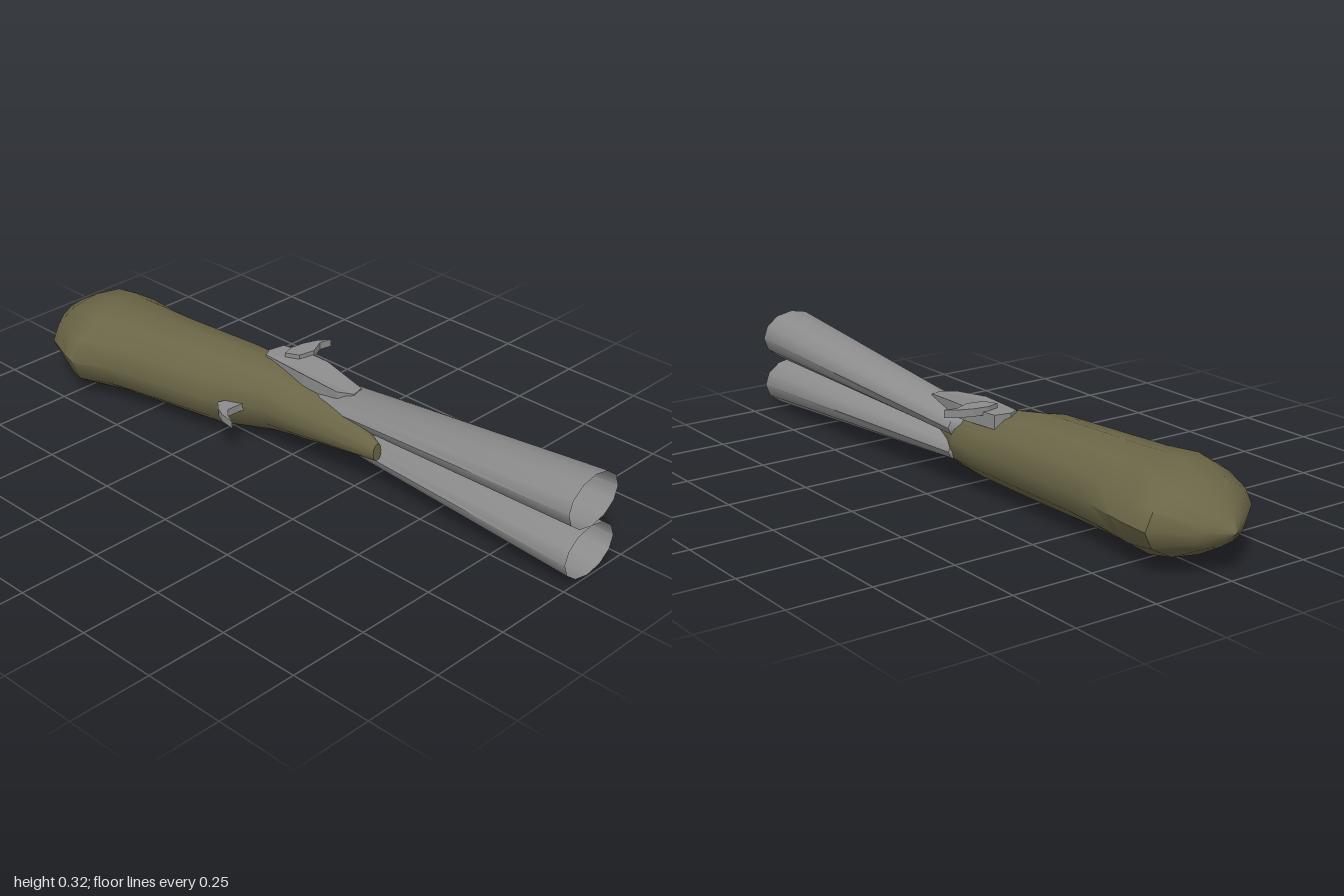
import * as THREE from 'three';
import { toCreasedNormals } from 'three/addons/utils/BufferGeometryUtils.js';

const SIDES = 12;

// Skin of elliptical sections [z, xMin, xMax, yMin, yMax], listed front to back.
function loft(sections, capFront) {
  const pos = [], idx = [];
  sections.forEach(([z, x0, x1, y0, y1]) => {
    for (let j = 0; j < SIDES; j++) {
      const t = (j / SIDES) * Math.PI * 2;
      pos.push((x0 + x1) / 2 + Math.cos(t) * (x1 - x0) / 2, (y0 + y1) / 2 + Math.sin(t) * (y1 - y0) / 2, z);
    }
  });
  for (let i = 0; i < sections.length - 1; i++) {
    for (let j = 0; j < SIDES; j++) {
      const a = i * SIDES + j, b = i * SIDES + (j + 1) % SIDES, c = a + SIDES, d = b + SIDES;
      idx.push(a, c, b, b, c, d);
    }
  }
  if (capFront) for (let j = 1; j < SIDES - 1; j++) idx.push(0, j, j + 1);
  const g = new THREE.BufferGeometry();
  g.setAttribute('position', new THREE.Float32BufferAttribute(pos, 3));
  g.setIndex(idx);
  return toCreasedNormals(g, 0.75);
}

// Flat plate outlined in x and z, hanging down from yTop.
function plate(points, yTop, depth) {
  const shape = new THREE.Shape(points.map(([x, z]) => new THREE.Vector2(x, z)));
  const g = new THREE.ExtrudeGeometry(shape, { depth, bevelEnabled: false });
  return g.rotateX(Math.PI / 2).translate(0, yTop, 0);
}

export function createModel() {
  const model = new THREE.Group();
  const wood = new THREE.MeshStandardMaterial({ color: 0x6b6647 });
  wood.name = 'oliveStock';
  const metal = new THREE.MeshStandardMaterial({ color: 0x8c8c8c, side: THREE.DoubleSide });
  metal.name = 'greyMetal';
  const add = (name, geometry, material) => {
    const mesh = new THREE.Mesh(geometry, material);
    mesh.name = name;
    model.add(mesh);
  };

  // Stock: slim fore-end on one side, swelling to a pointed butt
  add('stock', loft([
    [0.33, -0.012, 0.022, 0.115, 0.17],
    [0.12, -0.03, 0.13, 0.07, 0.205],
    [0.03, -0.037, 0.155, 0.052, 0.215],
    [0, -0.04, 0.172, 0.046, 0.222],
    [-0.08, -0.048, 0.17, 0.035, 0.24],
    [-0.25, -0.125, 0.16, 0.015, 0.26],
    [-0.5, -0.17, 0.152, 0.006, 0.258],
    [-0.62, -0.195, 0.157, 0.003, 0.257],
    [-0.71, -0.24, 0.168, 0.001, 0.256],
    [-0.77, -0.222, 0.174, 0, 0.255],
    [-0.87, -0.185, 0.18, 0.03, 0.228],
    [-0.95, -0.09, 0.085, 0.075, 0.18],
    [-1, -0.011, -0.009, 0.124, 0.126],
  ], true), wood);

  // Two flared, open barrels that diverge toward the muzzle
  add('upperBarrel', loft([
    [1, -0.004, 0.205, 0.16, 0.316],
    [0, 0.028, 0.174, 0.143, 0.219],
    [-0.05, 0.1, 0.102, 0.18, 0.182],
  ]), metal);
  add('lowerBarrel', loft([
    [1, -0.004, 0.205, 0.006, 0.16],
    [0, 0.028, 0.174, 0.072, 0.148],
    [-0.05, 0.1, 0.102, 0.11, 0.112],
  ]), metal);

  // Breech plate, sloping down along the barrel
  const breech = plate([
    [0.05, -0.16], [0.08, -0.175], [0.13, -0.165], [0.147, -0.05], [0.147, 0],
    [0.12, 0.16], [0.08, 0.17], [0.05, 0.13], [0.04, 0],
  ], 0.253, 0.042);
  const p = breech.attributes.position;
  for (let i = 0; i < p.count; i++) p.setY(i, p.getY(i) - Math.max(0, p.getZ(i)) * 0.1);
  breech.computeVertexNormals();
  add('breechPlate', breech, metal);

  // Curved opening lever and trigger
  add('openingLever', plate([
    [0.08, -0.11], [0.12, -0.122], [0.165, -0.115], [0.205, -0.1], [0.238, -0.075],
    [0.2, -0.083], [0.15, -0.06], [0.1, -0.07],
  ], 0.266, 0.023), metal);
  add('trigger', plate([
    [-0.165, -0.08], [-0.157, -0.13], [-0.14, -0.165], [-0.115, -0.195], [-0.07, -0.175],
    [-0.03, -0.15], [-0.03, -0.12], [-0.08, -0.138], [-0.125, -0.14], [-0.148, -0.115],
  ], 0.145, 0.023), metal);

  return model;
}
